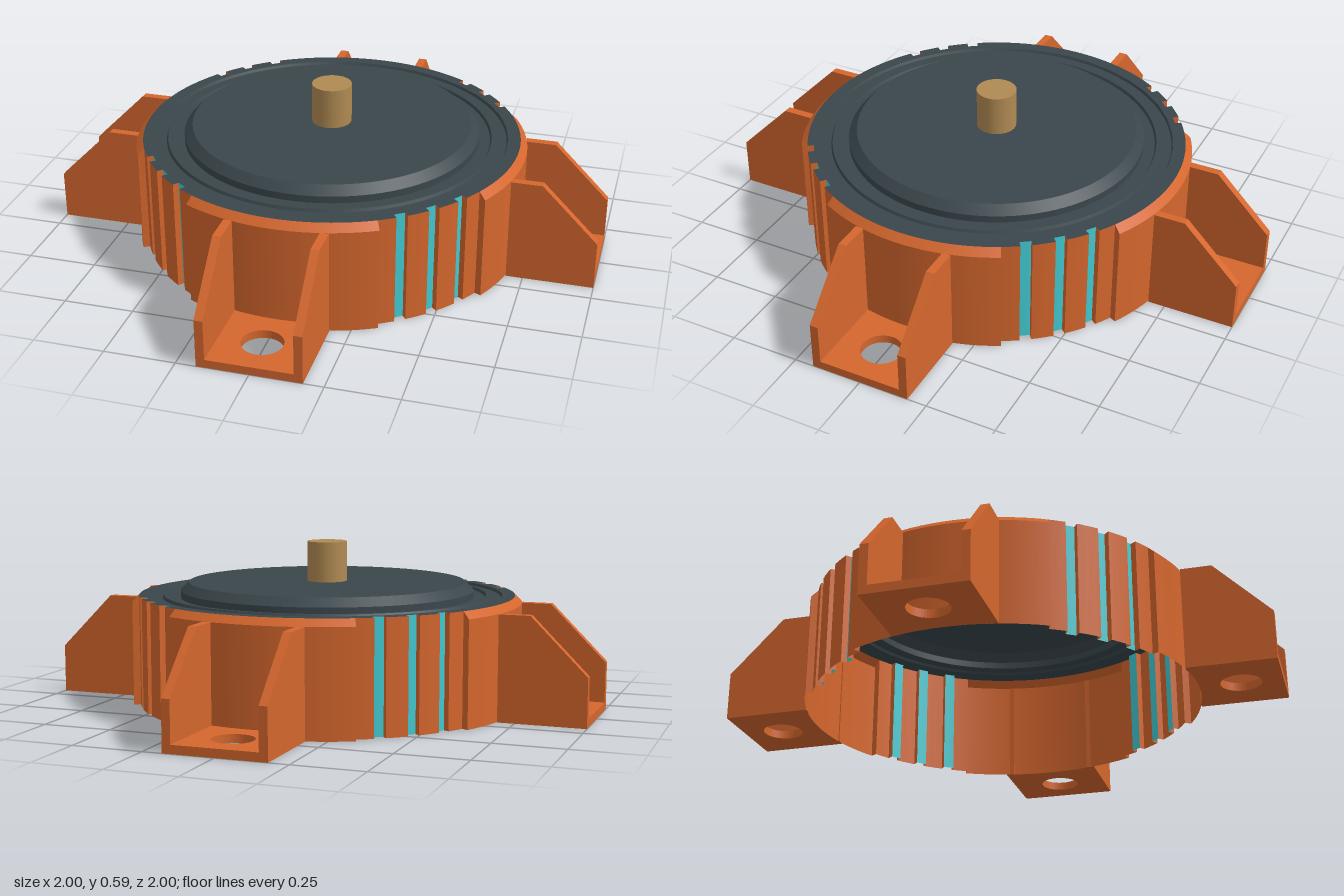
import * as THREE from 'three';

const D = Math.PI / 180;

export function createModel() {
  const D2 = THREE.DoubleSide;
  const material = (name, color) => {
    const m = new THREE.MeshStandardMaterial({ color, side: D2 });
    m.name = name;
    return m;
  };
  const orange = material('orange housing', 0xd4662d);
  const cyan = material('cyan inlay', 0x42ccd4);
  const slate = material('slate lid', 0x3a464c);
  const brass = material('brass post', 0xb08a52);

  const root = new THREE.Group();
  root.name = 'roundHousing';
  const add = (parent, name, geo, mat) => {
    const mesh = new THREE.Mesh(geo, mat);
    mesh.name = name;
    parent.add(mesh);
    return mesh;
  };

  const H = 0.4, R = 0.685, SLOT = 0.662, BAND = 0.71, CHAMFER = 0.375;
  const BAND_HALF = 28, SLOT_HALF = 1.7, SLOTS = [35, 45, 55];

  // Curved wall between two angles, measured from +z towards +x
  const arc = (rTop, rBottom, y0, y1, a0, a1) =>
    new THREE.CylinderGeometry(rTop, rBottom, y1 - y0, Math.max(2, Math.ceil((a1 - a0) / 3)), 1, true, a0 * D, (a1 - a0) * D)
      .translate(0, (y0 + y1) / 2, 0);
  // Flat radial face joining two wall radii
  const step = (a, outline) =>
    new THREE.ShapeGeometry(new THREE.Shape(outline.map(p => new THREE.Vector2(...p)))).rotateY((a - 90) * D);
  const slotSide = [[SLOT, 0], [R, 0], [R, H], [SLOT, H]];
  const bandSide = [[R, 0], [BAND, 0], [BAND, CHAMFER], [R, H]];

  // Mounting foot: floor plate with bolt hole, and two sloped cheeks
  const plate = new THREE.Shape();
  const s = Math.asin(0.15 / BAND);
  plate.moveTo(0.15, -1);
  plate.lineTo(0.15, -BAND * Math.cos(s));
  plate.absarc(0, 0, BAND, -Math.PI / 2 + s, -Math.PI / 2 - s, true);
  plate.lineTo(-0.15, -1);
  plate.closePath();
  const hole = new THREE.Path();
  hole.absarc(0, -0.855, 0.072, 0, Math.PI * 2, true);
  plate.holes.push(hole);
  const plateGeo = new THREE.ExtrudeGeometry(plate, { depth: 0.03, bevelEnabled: false, curveSegments: 24 }).rotateX(-Math.PI / 2);

  const cheek = new THREE.Shape([[-0.69, 0], [-0.69, CHAMFER], [-0.8, CHAMFER], [-1, 0.175], [-1, 0]]
    .map(p => new THREE.Vector2(...p)));
  const cheekGeo = new THREE.ExtrudeGeometry(cheek, { depth: 0.03, bevelEnabled: false }).rotateY(Math.PI / 2);

  for (let q = 0; q < 4; q++) {
    const quarter = new THREE.Group();
    quarter.name = 'housingQuarter';
    quarter.rotation.y = q * Math.PI / 2;
    root.add(quarter);

    // Raised band behind the foot
    add(quarter, 'band', arc(BAND, BAND, 0, CHAMFER, -BAND_HALF, BAND_HALF), orange);
    add(quarter, 'bandChamfer', arc(R, BAND, CHAMFER, H, -BAND_HALF, BAND_HALF), orange);
    for (const a of [-BAND_HALF, BAND_HALF]) add(quarter, 'bandEnd', step(a, bandSide), orange);

    // Slotted wall with inlaid strips
    let from = BAND_HALF;
    for (const a of SLOTS) {
      add(quarter, 'wallTooth', arc(R, R, 0, H, from, a - SLOT_HALF), orange);
      add(quarter, 'inlayStrip', arc(SLOT, SLOT, 0, H, a - SLOT_HALF, a + SLOT_HALF), cyan);
      for (const e of [-SLOT_HALF, SLOT_HALF]) add(quarter, 'slotSide', step(a + e, slotSide), orange);
      from = a + SLOT_HALF;
    }
    add(quarter, 'wallTooth', arc(R, R, 0, H, from, 90 - BAND_HALF), orange);

    const foot = new THREE.Group();
    foot.name = 'mountingFoot';
    quarter.add(foot);
    add(foot, 'footPlate', plateGeo, orange);
    for (const x of [-0.18, 0.15]) add(foot, 'footCheek', cheekGeo, orange).position.x = x;
  }

  // Lid rim following the slots
  const rim = new THREE.Shape();
  rim.moveTo(R, 0);
  let at = 0;
  for (let q = 0; q < 4; q++) {
    for (const a of SLOTS) {
      const a0 = q * 90 + a - SLOT_HALF, a1 = a0 + 2 * SLOT_HALF;
      rim.absarc(0, 0, R, at * D, a0 * D, false);
      rim.absarc(0, 0, SLOT, a0 * D, a1 * D, false);
      at = a1;
    }
  }
  rim.absarc(0, 0, R, at * D, 2 * Math.PI, false);
  const rimHole = new THREE.Path();
  rimHole.absarc(0, 0, 0.64, 0, Math.PI * 2, true);
  rim.holes.push(rimHole);
  add(root, 'lidRim', new THREE.ShapeGeometry(rim, 20).rotateX(-Math.PI / 2).translate(0, H, 0), slate);

  // Stepped lid: each ring is its own lathe so the edges stay sharp
  const profile = [[0.64, 0.4], [0.635, 0.39], [0.6, 0.39], [0.595, 0.4], [0.58, 0.4], [0.575, 0.39],
    [0.535, 0.39], [0.535, 0.415], [0.505, 0.445], [0, 0.445]];
  for (let i = 0; i < profile.length - 1; i++) {
    const pts = [profile[i + 1], profile[i]].map(p => new THREE.Vector2(...p));
    // Reverse so that normals face up and out
    add(root, 'lidRing', new THREE.LatheGeometry(pts.reverse(), 96), slate);
  }

  // Centre post
  add(root, 'centrePost', new THREE.CylinderGeometry(0.072, 0.072, 0.147, 20).translate(0, 0.5165, 0), brass);

  return root;
}
